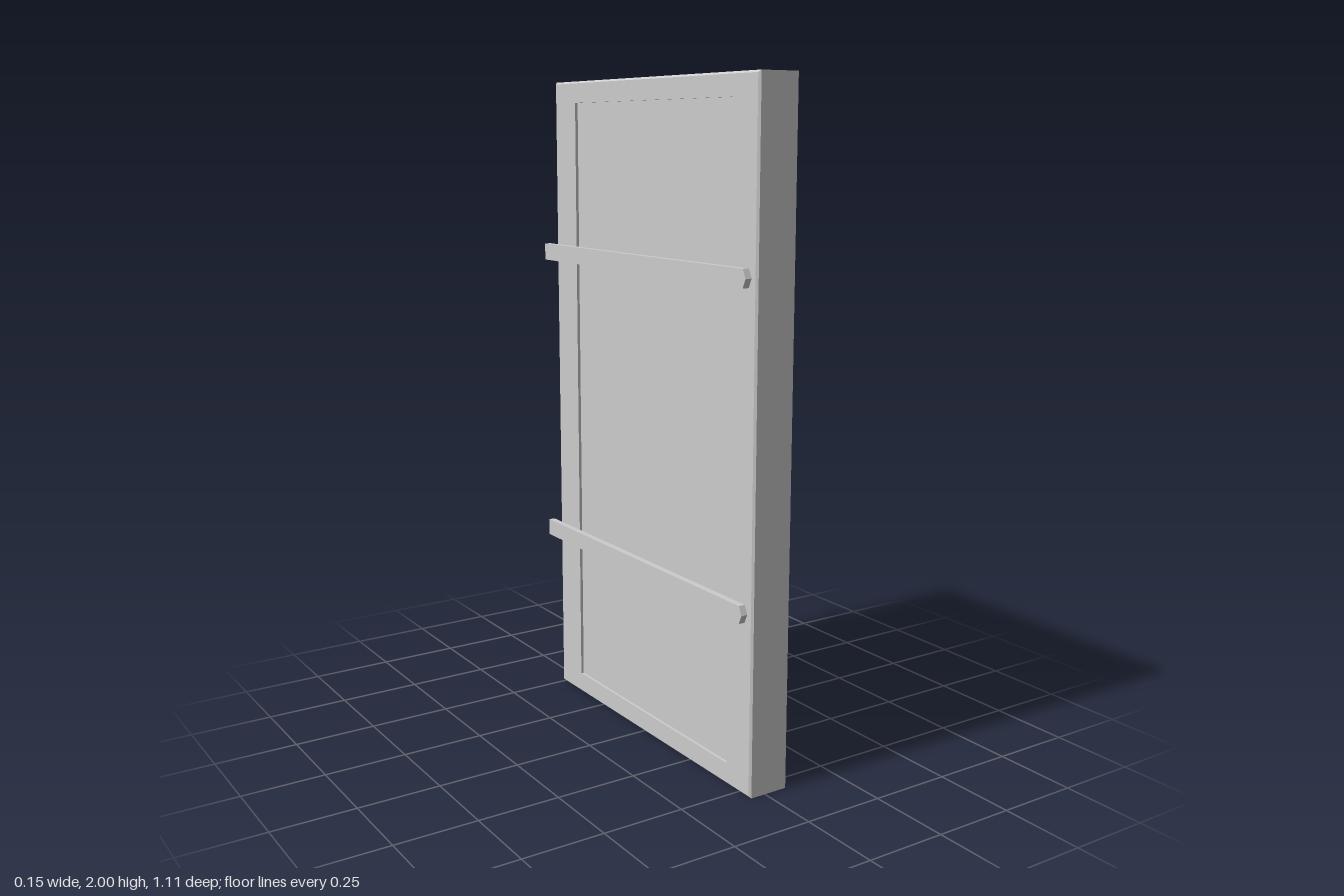
import * as THREE from 'three';

const material = new THREE.MeshStandardMaterial({ color: 0xcccccc, flatShading: true });

// Rectangular ring of corners at a given x, counter-clockwise seen from +x
function ring(x, y0, y1, z0, z1) {
  return [[x, y0, z1], [x, y0, z0], [x, y1, z0], [x, y1, z1]];
}

// Skin between successive rings, closed at both ends
function loftRings(rings) {
  const pos = [];
  const quad = (a, b, c, d) => pos.push(...a, ...b, ...c, ...a, ...c, ...d);
  quad(...rings[0]);
  for (let k = 0; k < rings.length - 1; k++) {
    const a = rings[k], b = rings[k + 1];
    for (let i = 0; i < 4; i++) {
      const j = (i + 1) % 4;
      quad(b[i], b[j], a[j], a[i]);
    }
  }
  quad(...[...rings[rings.length - 1]].reverse());
  const geo = new THREE.BufferGeometry();
  geo.setAttribute('position', new THREE.Float32BufferAttribute(pos, 3));
  geo.computeVertexNormals();
  return geo;
}

export function createModel() {
  const group = new THREE.Group();
  const add = (name, geo) => {
    const mesh = new THREE.Mesh(geo, material);
    mesh.name = name;
    group.add(mesh);
    return mesh;
  };

  // Door slab: chamfered rim and shallow recessed panel on the -x face
  const c = 0.006;
  add('doorPanel', loftRings([
    ring(0.073, 0, 2, -0.51, 0.555),
    ring(-0.054 + c, 0, 2, -0.51, 0.555),
    ring(-0.054, c, 2 - c, -0.51 + c, 0.555 - c),
    ring(-0.054, 0.065, 1.935, -0.385, 0.44),
    ring(-0.045, 0.065, 1.935, -0.385, 0.44),
  ]));

  // Hinge straps: flat bars with a blunt pointed tip at the +z end
  const h = 0.026;
  const profile = new THREE.Shape([
    [-0.555, -h], [0.52, -h], [0.532, 0], [0.52, h], [-0.555, h],
  ].map(([z, y]) => new THREE.Vector2(-z, y)));
  for (const [name, y] of [['lowerHingeStrap', 0.538], ['upperHingeStrap', 1.466]]) {
    const geo = new THREE.ExtrudeGeometry(profile, { depth: 0.02, bevelEnabled: false });
    geo.rotateY(Math.PI / 2); // shape x runs along -z, depth along +x
    add(name, geo).position.set(-0.074, y, 0);
  }

  return group;
}
